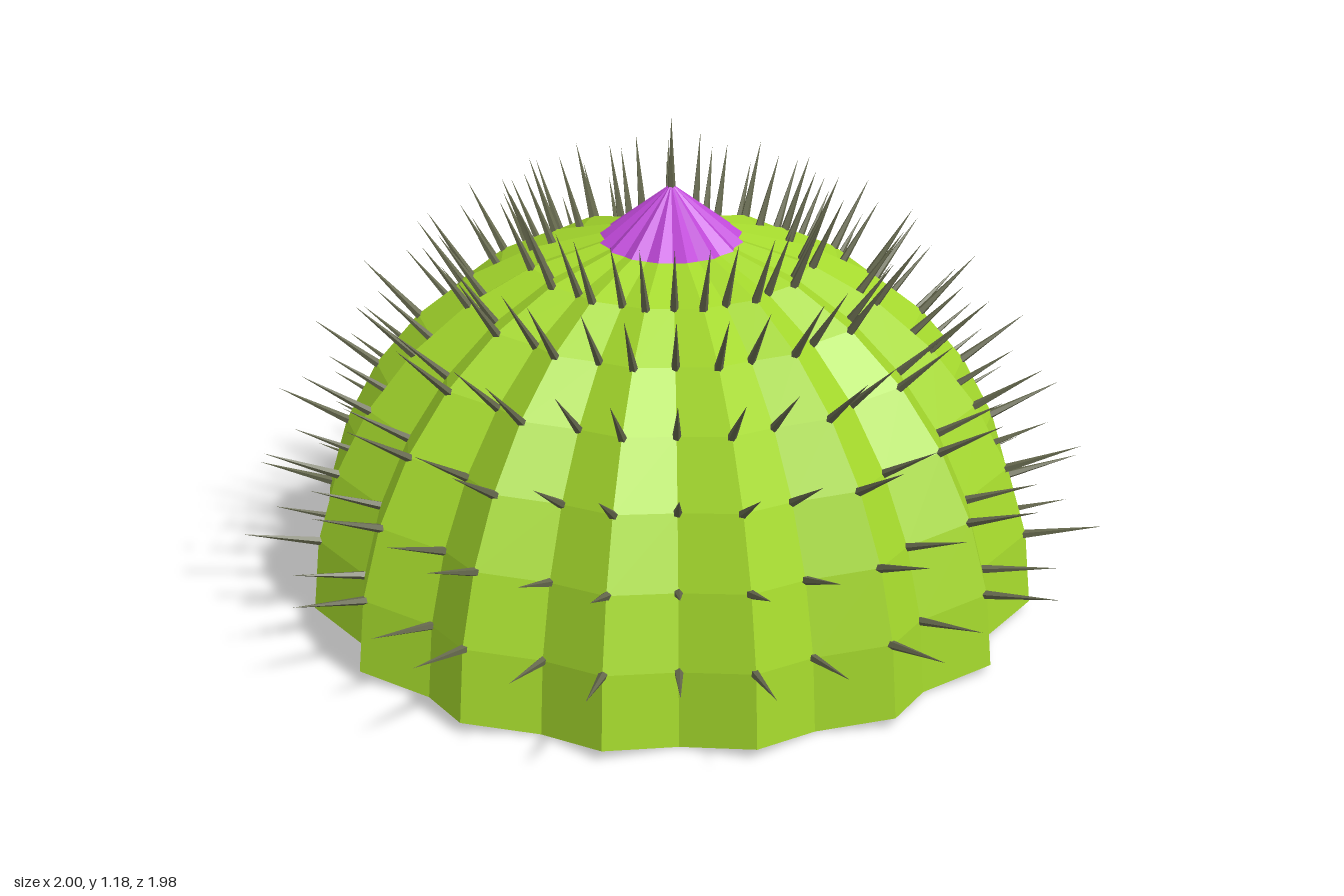
import * as THREE from 'three';
import { mergeGeometries } from 'three/addons/utils/BufferGeometryUtils.js';

const RIBS = 16, COLS = RIBS * 2, RINGS = 8, BACK = RIBS;

const paint = (color) => new THREE.MeshStandardMaterial({ color, flatShading: true, side: THREE.DoubleSide });
const V = (x, y, z) => new THREE.Vector3(x, y, z);

// Point of the ribbed dome: even columns are grooves, odd columns are ridges.
function domePoint(k, col) {
  const j = col % COLS;
  const side = BACK - j; // +1 and -1 are the ridges beside the doorway
  if (k === 2 && side === 0) return V(0, 0.375, -0.895); // tip of the awning
  if (Math.abs(side) === 1 && (k === 1 || k === 2)) return V(0.165 * side, 0.19 * k - 0.01 * (k - 1) * 2, -0.84);
  const ridge = j % 2 === 1;
  const t = (k / RINGS) * Math.PI / 2, a = (j / COLS) * Math.PI * 2;
  const r = (ridge ? 0.86 : 0.785) * Math.cos(t);
  const y = 0.9 * Math.sin(t) + (ridge ? 0.025 * Math.cos(t) : 0);
  return V(r * Math.sin(a), y, r * Math.cos(a));
}

// Flat-shaded surface from a list of polygons, each fanned into triangles
function surface(polygons) {
  const pts = [];
  for (const p of polygons)
    for (let i = 1; i < p.length - 1; i++) pts.push(p[0], p[i], p[i + 1]);
  const g = new THREE.BufferGeometry().setFromPoints(pts);
  g.computeVertexNormals();
  return g;
}

// Thin cone standing on a point, its root sunk a little below it
function spine(base, dir, length = 0.18) {
  const sunk = 0.012;
  const g = new THREE.ConeGeometry(0.011, length + sunk, 5);
  g.translate(0, (length - sunk) / 2, 0);
  g.applyQuaternion(new THREE.Quaternion().setFromUnitVectors(V(0, 1, 0), dir.clone().normalize()));
  return g.translate(base.x, base.y, base.z);
}

export function createModel() {
  const group = new THREE.Group();
  const add = (name, geometry, color) => {
    const mesh = new THREE.Mesh(geometry, paint(color));
    mesh.name = name;
    group.add(mesh);
  };

  // Hollow ribbed dome, left open at the doorway
  const shell = [];
  for (let k = 0; k < RINGS - 1; k++)
    for (let j = 0; j < COLS; j++) {
      if (k < 2 && (j === BACK - 1 || j === BACK)) continue;
      shell.push([domePoint(k, j), domePoint(k, j + 1), domePoint(k + 1, j + 1), domePoint(k + 1, j)]);
    }
  add('dome', surface(shell), 0xa4d82c);

  // Doorway panel and the underside of the awning above it
  const left = domePoint(2, BACK - 1), right = domePoint(2, BACK + 1);
  add('doorway', surface([[left, domePoint(0, BACK - 1), V(0, 0, -0.846), domePoint(0, BACK + 1), right].reverse()]), 0x060606);
  add('awningUnderside', surface([[left, domePoint(2, BACK), right]]), 0xa4d82c);

  // Flower cap
  const petals = [];
  for (let j = 0; j < COLS; j++)
    petals.push([domePoint(RINGS - 1, j), domePoint(RINGS - 1, j + 1), V(0, 1.02, 0)]);
  add('flower', surface(petals), 0xbf48d8);

  // Spines on every ridge and groove, kept clear of the doorway
  const spines = [spine(V(0, 1.0, 0), V(0, 1, 0))];
  for (let k = 1; k < RINGS - 1; k++)
    for (let j = 0; j < COLS; j++) {
      if (k < 3 && Math.abs(j - BACK) <= 1) continue;
      const t = (k / RINGS) * Math.PI / 2, a = (j / COLS) * Math.PI * 2;
      spines.push(spine(domePoint(k, j), V(Math.sin(a) * Math.cos(t), Math.sin(t), Math.cos(a) * Math.cos(t))));
    }
  for (const s of [-1, 1]) spines.push(spine(domePoint(2, BACK - s), V(0.45 * s, 0.05, -0.9), 0.16));
  add('spines', mergeGeometries(spines), 0x66694e);

  return group;
}
